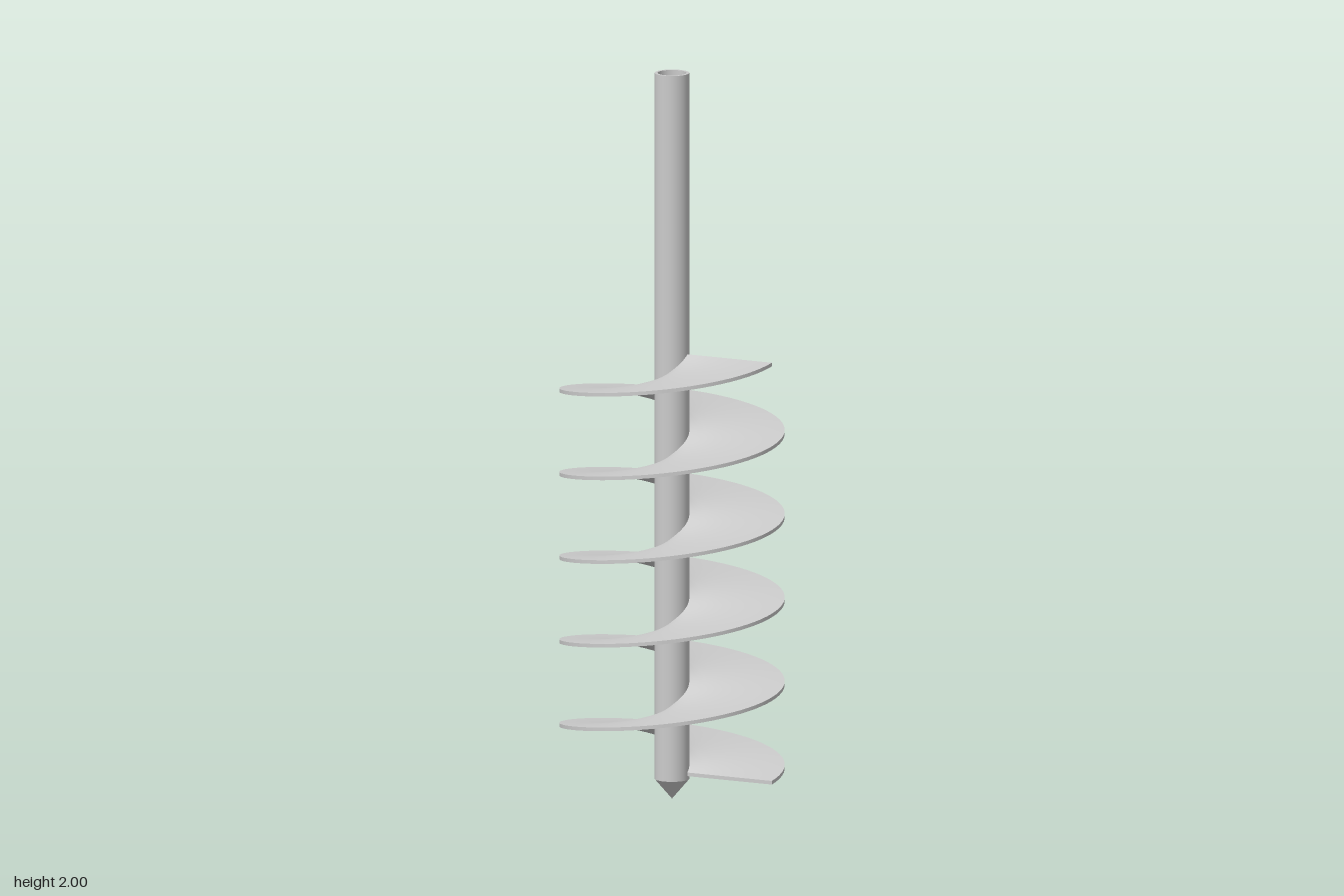
import * as THREE from 'three';
import { ParametricGeometry } from 'three/addons/geometries/ParametricGeometry.js';
import { mergeGeometries } from 'three/addons/utils/BufferGeometryUtils.js';

const SHAFT_R = 0.047, BORE_R = 0.039, TIP_Y = 0.055, TOP_Y = 2;
const BLADE_IN = 0.045, BLADE_OUT = 0.305, THICK = 0.01;
const START_Y = 0.071, PITCH = 0.2305, TURNS = 5;

const material = new THREE.MeshStandardMaterial({ color: 0xcccccc });

function addMesh(group, name, geometry) {
  const mesh = new THREE.Mesh(geometry, material);
  mesh.name = name;
  group.add(mesh);
}

// Revolves each profile segment on its own, so the corners stay sharp
function revolve(profile) {
  const strips = [];
  for (let i = 0; i < profile.length - 1; i++) {
    const pair = [profile[i], profile[i + 1]].map(([r, y]) => new THREE.Vector2(r, y));
    strips.push(new THREE.LatheGeometry(pair, 48));
  }
  return mergeGeometries(strips);
}

// Sweeps one edge of the blade section, from (r, y) to (r, y), up the helix
function helixStrip([r0, y0], [r1, y1], divisions) {
  return new ParametricGeometry((u, v, target) => {
    const angle = v * TURNS * Math.PI * 2;
    const r = r0 + (r1 - r0) * u;
    target.set(
      r * Math.cos(angle),
      START_Y + v * TURNS * PITCH + y0 + (y1 - y0) * u,
      -r * Math.sin(angle)
    );
  }, divisions, TURNS * 72);
}

// Flat end of the blade; the lower one faces +z, the upper one -z
function bladeEnd(y, facing) {
  const end = new THREE.PlaneGeometry(BLADE_OUT - BLADE_IN, THICK);
  if (facing < 0) end.rotateY(Math.PI);
  return end.translate((BLADE_IN + BLADE_OUT) / 2, y, 0);
}

export function createModel() {
  const model = new THREE.Group();
  model.name = 'auger';

  // Hollow shaft: outer wall, rim, bore and bore floor
  addMesh(model, 'shaft', revolve([
    [SHAFT_R, TIP_Y], [SHAFT_R, TOP_Y], [BORE_R, TOP_Y], [BORE_R, TIP_Y], [0, TIP_Y],
  ]));

  // Pointed tip
  addMesh(model, 'tip', revolve([[0, 0], [SHAFT_R, TIP_Y]]));

  // Spiral blade: top, rim, underside and the two ends
  const h = THICK / 2;
  addMesh(model, 'spiralBlade', mergeGeometries([
    helixStrip([BLADE_IN, h], [BLADE_OUT, h], 6),
    helixStrip([BLADE_OUT, h], [BLADE_OUT, -h], 1),
    helixStrip([BLADE_OUT, -h], [BLADE_IN, -h], 6),
    bladeEnd(START_Y, 1),
    bladeEnd(START_Y + TURNS * PITCH, -1),
  ]));

  return model;
}
